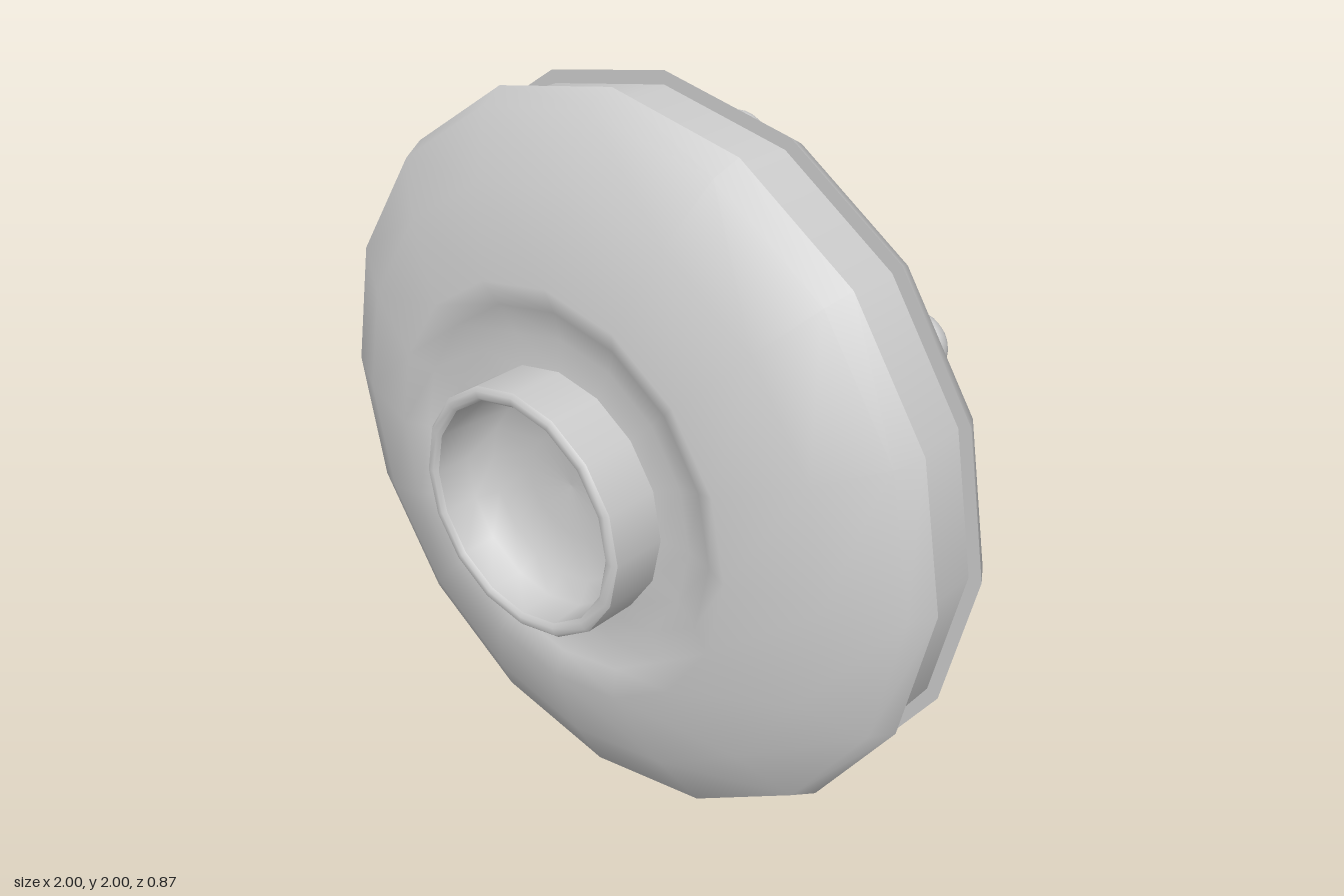
import * as THREE from 'three';

const SIDES = 16;
const material = new THREE.MeshStandardMaterial({ color: 0xcccccc, side: THREE.DoubleSide });

// Turns a profile of [radius, z] points about the z axis
function turned(name, profile) {
  const points = profile.map(([r, z]) => new THREE.Vector2(r, z));
  const geometry = new THREE.LatheGeometry(points, SIDES).rotateX(Math.PI / 2);
  const mesh = new THREE.Mesh(geometry, material);
  mesh.name = name;
  return mesh;
}

export function createModel() {
  const group = new THREE.Group();
  const body = new THREE.Group();
  body.name = 'body';
  body.position.y = 1;
  group.add(body);

  // Recessed band around the middle
  body.add(turned('middleBand', [[0.965, -0.1], [0.965, 0.08]]));

  // Front shell: rounded ring that dips towards the neck
  body.add(turned('frontLip', [[0.95, 0.08], [1, 0.08]]));
  body.add(turned('frontShell', [
    [1, 0.08], [0.965, 0.15], [0.8, 0.24], [0.57, 0.315],
    [0.5, 0.285], [0.42, 0.265], [0.33, 0.275],
  ]));

  // Neck with a thin rim and a shallow bowl inside
  body.add(turned('neckWall', [[0.338, 0.25], [0.338, 0.425]]));
  body.add(turned('neckRim', [[0.338, 0.425], [0.328, 0.435], [0.31, 0.435], [0.3, 0.425]]));
  body.add(turned('neckBowl', [[0.3, 0.425], [0.295, 0.33], [0.25, 0.28], [0.14, 0.25], [0, 0.24]]));

  // Back shell: shallow dome with soft steps
  body.add(turned('backLip', [[1, -0.1], [0.95, -0.1]]));
  body.add(turned('backShell', [
    [0, -0.425], [0.2, -0.43], [0.3, -0.412], [0.42, -0.392], [0.57, -0.355],
    [0.64, -0.315], [0.7, -0.3], [0.84, -0.24], [0.965, -0.16], [1, -0.1],
  ]));

  // Eight domed rivets lying on the slope of the back shell
  const rivetGeometry = new THREE.SphereGeometry(0.07, 16, 12).scale(1, 1, 0.65);
  const forward = new THREE.Vector3(0, 0, 1);
  for (let i = 0; i < 8; i++) {
    const angle = THREE.MathUtils.degToRad(10.7 + i * 45);
    const x = Math.sin(angle), y = Math.cos(angle);
    const rivet = new THREE.Mesh(rivetGeometry, material);
    rivet.name = 'rivet' + (i + 1);
    rivet.position.set(x * 0.865, y * 0.865, -0.21);
    rivet.quaternion.setFromUnitVectors(forward, new THREE.Vector3(x * 0.5, y * 0.5, -0.866));
    body.add(rivet);
  }
  return group;
}
